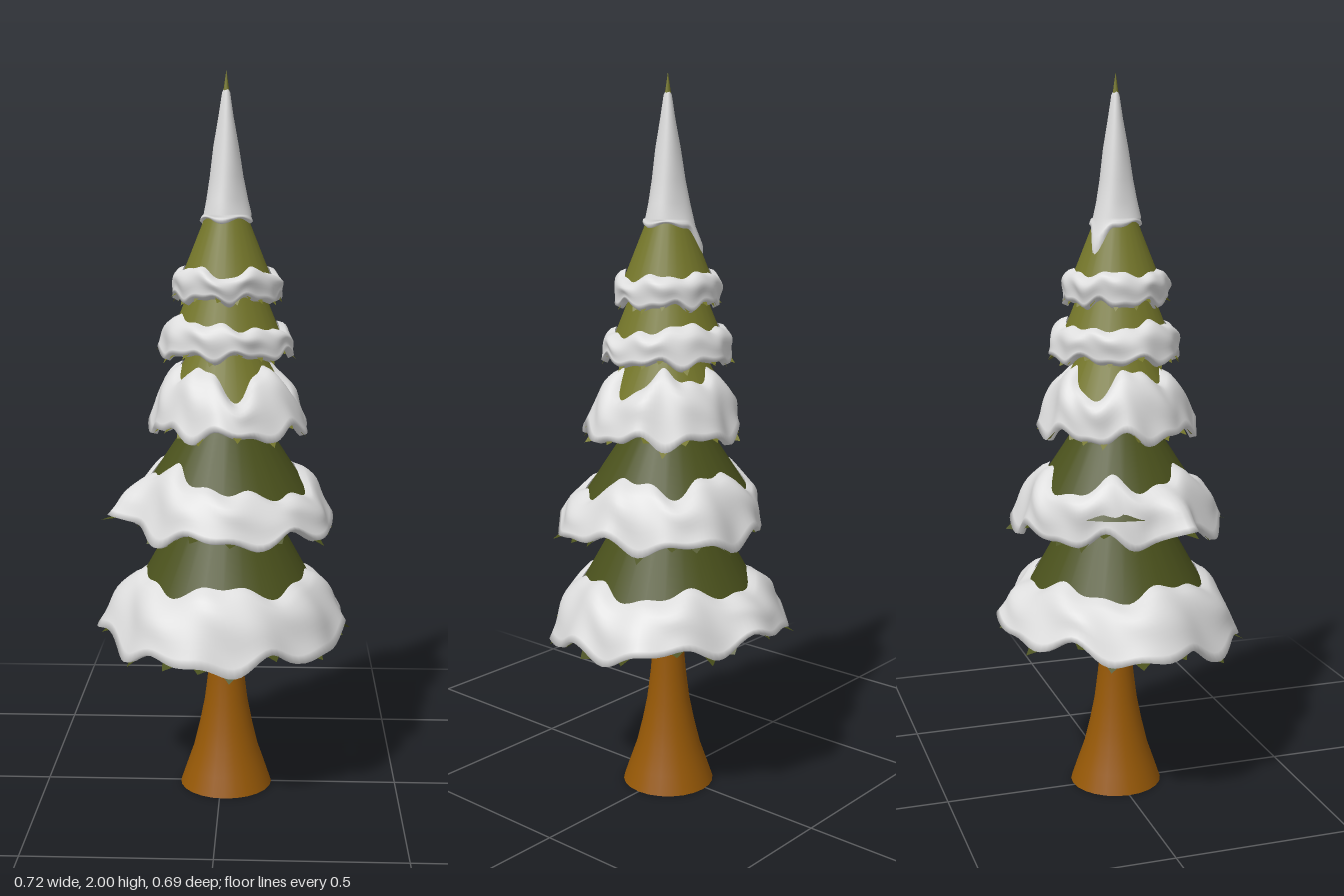
import * as THREE from 'three';

const TAU = Math.PI * 2;
const mat = (name, color) => {
  const m = new THREE.MeshStandardMaterial({ color, side: THREE.DoubleSide });
  m.name = name;
  return m;
};

// smooth closed curve through evenly spaced values
function around(values, a) {
  const n = values.length, u = ((a / TAU) % 1 + 1) % 1 * n, i = Math.floor(u), f = u - i;
  const [p, q, r, s] = [-1, 0, 1, 2].map(k => values[(i + k + n) % n]);
  return q + 0.5 * f * (r - p + f * (2 * p - 5 * q + 4 * r - s + f * (3 * (q - r) + s - p)));
}

// bump centred on an angle in degrees
function bump(a, deg, width) {
  const d = ((a * 360 / TAU - deg + 540) % 360) - 180;
  return Math.exp(-((d / width) ** 2));
}

// closed rings from top to bottom; ring(a, row) gives [radius, y]
function loft(rows, segs, ring) {
  const pos = [], idx = [];
  for (let j = 0; j < rows; j++)
    for (let i = 0; i < segs; i++) {
      const a = i / segs * TAU, [r, y] = ring(a, j);
      pos.push(r * Math.cos(a), y, r * Math.sin(a));
      if (j === rows - 1) continue;
      const p = j * segs + i, q = j * segs + (i + 1) % segs;
      idx.push(p, q, p + segs, q, q + segs, p + segs);
    }
  const g = new THREE.BufferGeometry();
  g.setAttribute('position', new THREE.Float32BufferAttribute(pos, 3));
  g.setIndex(idx);
  g.computeVertexNormals();
  return g;
}

// tiers from the ground up: foliage cone, snow edge heights, rim radius every 30 degrees from +x;
// dips are bare patches in the snow edge: angle, width, depth
const TIERS = [
  { y0: 0.6, r0: 0.245, y1: 0.86, r1: 0.1, top: 0.625, wave: 0.016, rim: 0.475, tilt: 0.1, size: 1, dark: true, dips: [],
    radii: [0.335, 0.34, 0.325, 0.338, 0.35, 0.34, 0.362, 0.335, 0.34, 0.342, 0.32, 0.35] },
  { y0: 0.835, r0: 0.25, y1: 1.08, r1: 0.09, top: 0.925, wave: 0.022, rim: 0.775, tilt: 0, size: 0.9, dark: true,
    spike: 160, dips: [[45, 45, 0.04], [63, 14, 0.035], [225, 18, 0.035]],
    radii: [0.295, 0.31, 0.305, 0.3, 0.295, 0.28, 0.26, 0.25, 0.265, 0.28, 0.3, 0.285] },
  { y0: 1.125, r0: 0.167, y1: 1.35, r1: 0.05, top: 1.205, wave: 0.018, rim: 1.045, tilt: 0, size: 0.8,
    dips: [[82, 22, 0.055], [8, 22, 0.045], [225, 22, 0.05]],
    radii: [0.225, 0.235, 0.235, 0.235, 0.22, 0.21, 0.215, 0.2, 0.2, 0.215, 0.22, 0.225] },
  { y0: 1.28, r0: 0.156, y1: 1.47, r1: 0.08, top: 1.34, wave: 0.01, rim: 1.25, tilt: 0, size: 0.55,
    dips: [[75, 20, 0.03], [15, 22, 0.04], [225, 20, 0.02]],
    radii: [0.185, 0.185, 0.175, 0.175, 0.175, 0.185, 0.185, 0.165, 0.175, 0.185, 0.185, 0.18] },
  { y0: 1.43, r0: 0.131, y1: 1.62, r1: 0.055, top: 1.476, wave: 0.007, rim: 1.4, tilt: 0, size: 0.5,
    dips: [[85, 22, 0.02], [5, 22, 0.015]],
    radii: [0.152, 0.148, 0.14, 0.145, 0.142, 0.145, 0.148, 0.138, 0.14, 0.145, 0.145, 0.145] },
];

const coneRadius = (t, y) => t.r0 + (t.r1 - t.r0) * (y - t.y0) / (t.y1 - t.y0);

// wavy lower rim of a snow skirt
function rimAt(t, k, a) {
  const spike = t.spike ? bump(a, t.spike, 9) : 0;
  const r = around(t.radii, a) * (1 + 0.014 * Math.sin(11 * a + k * 2)) + 0.065 * spike;
  const drip = t.size * (0.018 * Math.sin(7 * a + k * 1.7) + 0.012 * Math.sin(12 * a + k * 3.1));
  return [r, t.rim + drip - t.tilt * r * Math.sin(a) * 0.9 + 0.035 * spike];
}

// snow draped from the foliage down to the rim, then back up inside as a thin shell
function snowSkirt(t, k) {
  const OUT = 11, IN = 7;
  return loft(OUT + IN, 120, (a, j) => {
    const inside = j >= OUT;
    const s = inside ? 0.97 - 0.87 * (j - OUT) / (IN - 1) : j / (OUT - 1);
    const [rr, ry] = rimAt(t, k, a);
    const bare = t.dips.reduce((sum, [deg, width, depth]) => sum + depth * bump(a, deg, width), 0);
    const ty = t.top - bare + t.wave * (Math.sin(5 * a + k * 2.3) + 0.5 * Math.sin(11 * a + k));
    const tr = coneRadius(t, ty) + 0.004;
    const swell = 0.014 * Math.sin(Math.PI * Math.min(1, s * 1.15));
    const lump = 0.007 * t.size * Math.sin(8 * a + 5 * s + k) * Math.sin(Math.PI * s);
    const edge = s < 0.12 && !inside ? 0.008 * Math.sin(Math.PI * s / 0.24) : 0.008;
    const r = tr + (rr - tr) * s + (swell + lump + edge) * (1 - s * s);
    const y = ty + (ry - ty) * Math.pow(s, 1.2);
    return inside ? [r - 0.016, y - 0.011] : [r, y];
  });
}

// needle tips peeking from under the snow rim, every third one longer
function needleTips(t, k) {
  const pos = [], count = 18;
  const put = (a, f, dy) => {
    const [r, y] = rimAt(t, k, a);
    pos.push(r * f * Math.cos(a), y + dy, r * f * Math.sin(a));
  };
  for (let i = 0; i < count; i++) {
    const a = (i + 0.3 * Math.sin(i * 5 + k)) / count * TAU;
    put(a - 0.09, 0.92, 0.004);
    put(a + 0.02, (i + k) % 3 ? 1 : 1.05, -0.014);
    put(a + 0.1, 0.92, 0.004);
  }
  const g = new THREE.BufferGeometry();
  g.setAttribute('position', new THREE.Float32BufferAttribute(pos, 3));
  g.computeVertexNormals();
  return g;
}

// snow cap with one long drip at the back
function snowCap(t) {
  const profile = [[0.004, 1.955], [0.011, 1.94], [0.02, 1.88], [0.034, 1.8], [0.045, 1.72], [0.056, 1.66], [0.065, 1.62]];
  const n = profile.length;
  return loft(n + 4, 60, (a, j) => {
    if (j < n) {
      const [r, y] = profile[j];
      return [r * (1 + 0.06 * Math.sin(3 * a + y * 9)), y];
    }
    const s = (j - n + 1) / 4;
    const y = 1.62 - s * (0.018 + 0.007 * Math.sin(4 * a + 1) + 0.085 * bump(a, 235, 18));
    return [coneRadius(t, y) + (s === 1 ? 0.001 : 0.01), y];
  });
}

export function createModel() {
  const tree = new THREE.Group();
  tree.name = 'snowyFirTree';
  const bark = mat('bark', 0x965806);
  const darkGreen = mat('darkGreen', 0x4a511c);
  const lightGreen = mat('lightGreen', 0x74762a);
  const snow = mat('snow', 0xdcdcdc);
  const add = (name, geometry, material) => {
    const m = new THREE.Mesh(geometry, material);
    m.name = name;
    m.position.x = 0.014;
    tree.add(m);
  };

  // flared, open trunk
  const flare = [[0.13, 0], [0.113, 0.05], [0.092, 0.11], [0.075, 0.18], [0.061, 0.25], [0.051, 0.33], [0.043, 0.42], [0.039, 0.52], [0.037, 0.75]];
  add('trunk', new THREE.LatheGeometry(flare.map(p => new THREE.Vector2(...p)), 24), bark);

  // foliage tiers with snow
  TIERS.forEach((t, k) => {
    const green = t.dark ? darkGreen : lightGreen;
    const cone = new THREE.CylinderGeometry(t.r1, t.r0, t.y1 - t.y0, 28, 1, true);
    cone.translate(0, (t.y0 + t.y1) / 2, 0);
    add('foliage' + (k + 1), cone, green);
    add('needleTips' + (k + 1), needleTips(t, k), green);
    add('snowSkirt' + (k + 1), snowSkirt(t, k), snow);
  });

  // top
  add('snowCap', snowCap(TIERS[4]), snow);
  const tip = new THREE.ConeGeometry(0.012, 0.08, 10);
  tip.translate(0, 1.96, 0);
  add('treeTip', tip, lightGreen);
  return tree;
}
